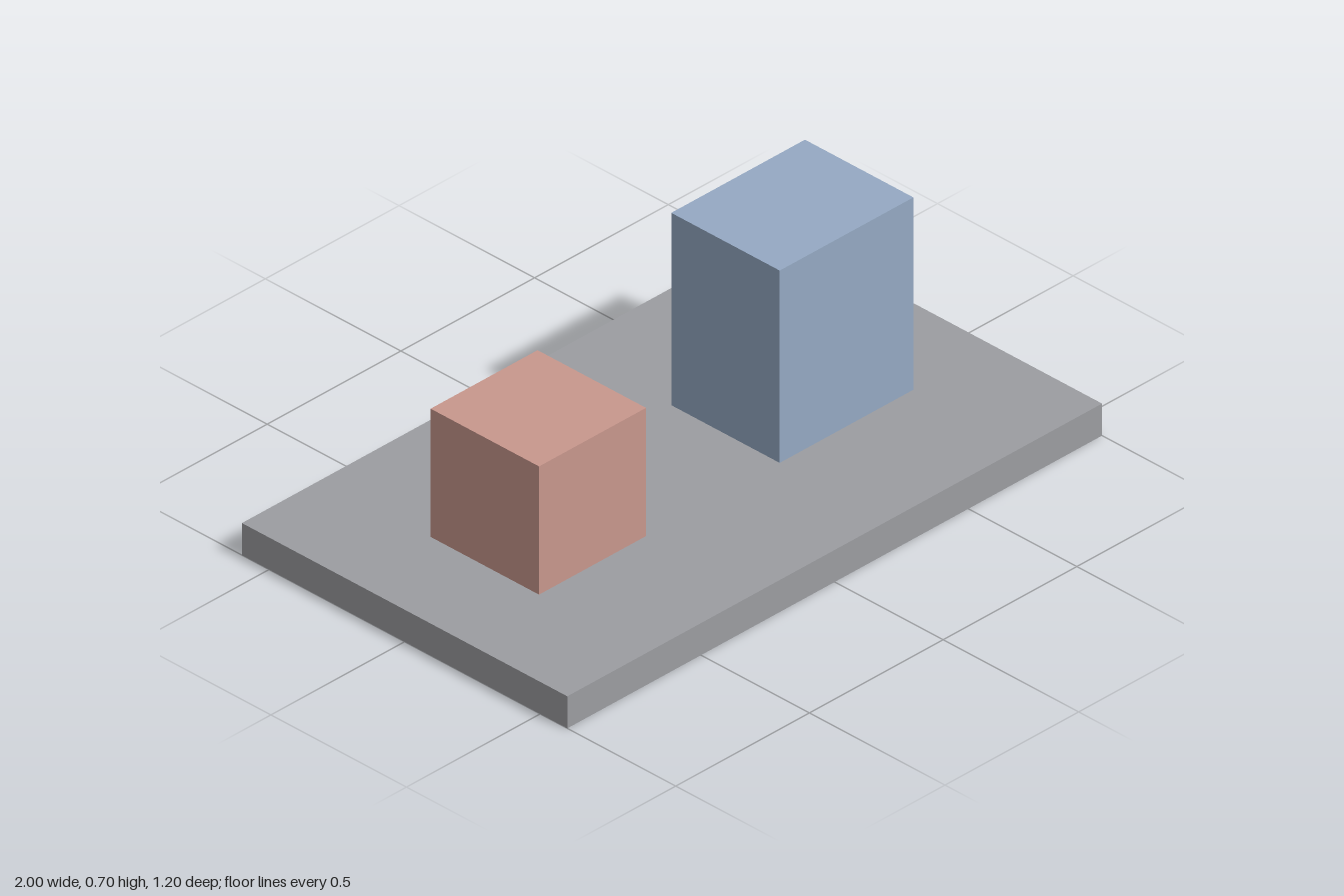
import * as THREE from 'three';

function material(name, color) {
  const m = new THREE.MeshStandardMaterial({ color });
  m.name = name;
  return m;
}

// Box standing on the height "base"
function block(name, mat, [w, h, d], x, base) {
  const mesh = new THREE.Mesh(new THREE.BoxGeometry(w, h, d), mat);
  mesh.name = name;
  mesh.position.set(x, base + h / 2, 0);
  return mesh;
}

export function createModel() {
  const grey = material('grey', 0x9c9da1);
  const red = material('dusty red', 0xc8978d);
  const blue = material('dusty blue', 0x95a9c3);

  const model = new THREE.Group();
  model.name = 'blocksOnBase';
  const baseHeight = 0.1;

  model.add(
    // Flat base slab
    block('baseSlab', grey, [2, baseHeight, 1.2], 0, 0),
    // Small cube on the model's right
    block('smallCube', red, [0.4, 0.4, 0.4], -0.5, baseHeight),
    // Tall block on the model's left
    block('tallBlock', blue, [0.5, 0.6, 0.4], 0.45, baseHeight),
  );
  return model;
}
